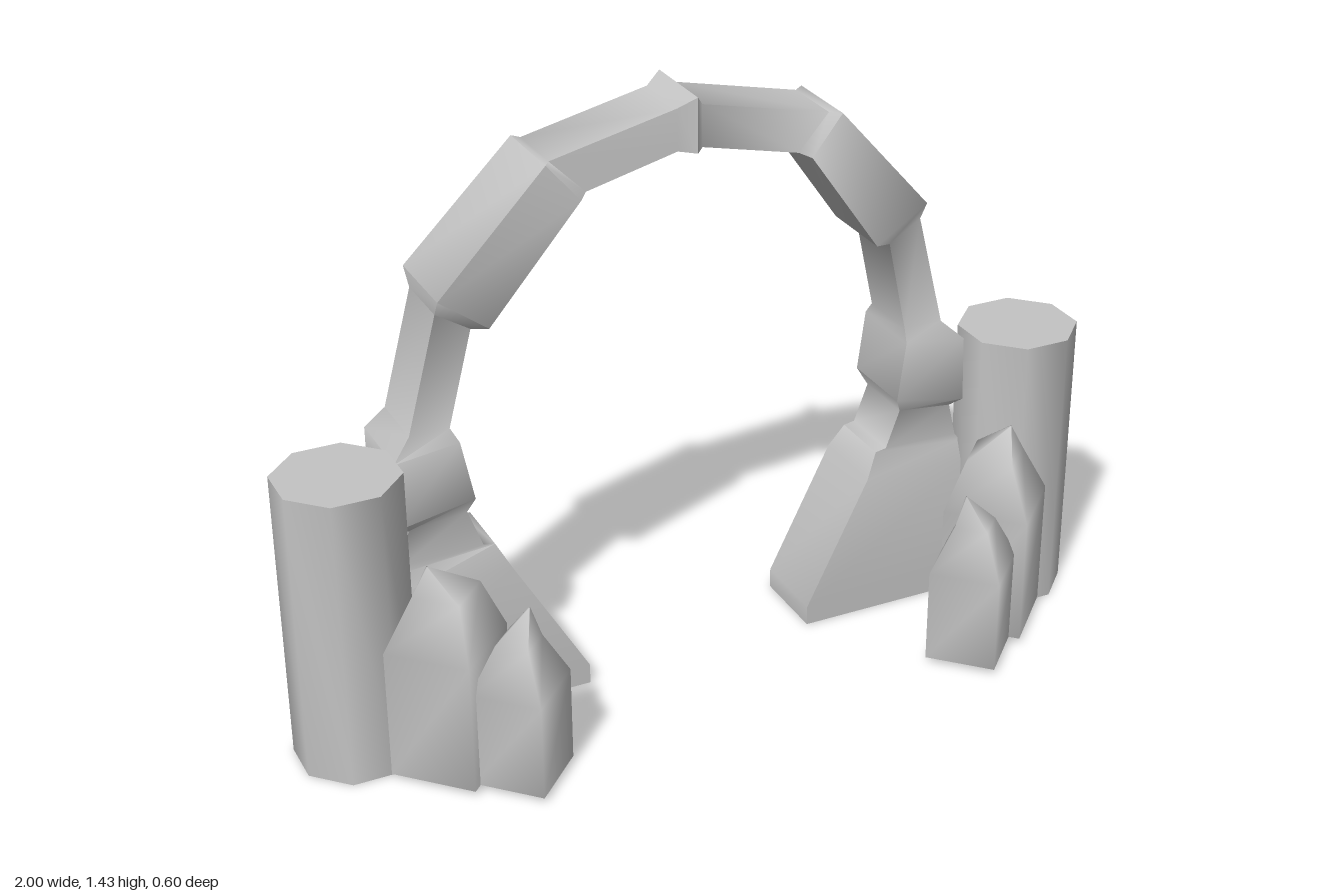
import * as THREE from 'three';
import { toCreasedNormals } from 'three/addons/utils/BufferGeometryUtils.js';

// Joins four-cornered rings into an open shell; rings run counter-clockwise seen from the far end.
function loft(rings) {
  const n = rings[0].length, index = [];
  for (let i = 0; i < rings.length - 1; i++) {
    for (let j = 0; j < n; j++) {
      const a = i * n + j, b = i * n + (j + 1) % n;
      index.push(a, b, b + n, a, b + n, a + n);
    }
  }
  const g = new THREE.BufferGeometry();
  g.setAttribute('position', new THREE.Float32BufferAttribute(rings.flat(2), 3));
  g.setIndex(index);
  return g;
}

// Arch stations from foot to crown: inner x, y, outer x, y, half depth,
// then for the left-hand copy: inner shift, outer shift, extra depth at the front
const WIDE = 0.1, SLIM = 0.08;
const STATIONS = [
  [0.305, 0, 0.77, 0, WIDE, 0.025, 0, 0],
  [0.305, 0.05, 0.77, 0.06, WIDE, 0.025, 0, 0],
  [0.465, 0.37, 0.755, 0.36, WIDE, 0, 0, 0],
  [0.497, 0.43, 0.735, 0.41, SLIM, 0, 0, 0],
  [0.525, 0.435, 0.72, 0.43, SLIM, 0, 0, 0],
  [0.56, 0.53, 0.7, 0.515, SLIM, 0, 0, 0],
  [0.54, 0.57, 0.725, 0.535, WIDE, -0.005, -0.005, 0],
  [0.56, 0.72, 0.72, 0.7, WIDE, -0.015, -0.01, 0],
  [0.565, 0.75, 0.665, 0.75, SLIM, -0.025, -0.02, 0],
  [0.515, 0.98, 0.595, 1.03, SLIM, -0.015, -0.015, 0],
  [0.47, 0.99, 0.6, 1.075, WIDE, -0.03, -0.015, 0.017],
  [0.295, 1.24, 0.37, 1.335, WIDE, 0.025, 0.02, 0],
  [0.27, 1.25, 0.345, 1.335, SLIM, 0.02, 0.01, 0],
  [0.03, 1.305, 0.03, 1.405, SLIM, 0, 0, 0],
];
const CROWN = [[0.01, 1.3], [0.01, 1.43]];

function archGeometry() {
  const zc = -0.2;
  const ring = (a, ay, b, by, d, front) => [
    [a, ay, zc + d + front], [b, by, zc + d + front], [b, by, zc - d], [a, ay, zc - d],
  ];
  const right = STATIONS.map(([ix, iy, ox, oy, d]) => ring(ix, iy, ox, oy, d, 0));
  const left = STATIONS.map(([ix, iy, ox, oy, d, di, dO, front]) =>
    ring(di - ix, iy, dO - ox, oy, d, front)).reverse();
  const crown = ring(...CROWN[0], ...CROWN[1], WIDE, 0);
  return toCreasedNormals(loft([...right, crown, ...left]), 1.2);
}

// Upright crystal with a diamond base; each ring is [y, radius, sideways offset]
function crystalGeometry(rings) {
  const g = loft(rings.map(([y, r, dx]) => [0, 1, 2, 3].map((k) => {
    const a = k * Math.PI / 2;
    return [dx + r * Math.cos(a), y, -r * Math.sin(a)];
  })));
  g.computeVertexNormals();
  return g;
}

// Octagonal pillar, open underneath
function pillarGeometry() {
  const r = 0.135 / Math.cos(Math.PI / 8), h = 0.715;
  const profile = [[r, 0], [r, h], [0, h]].map(([x, y]) => new THREE.Vector2(x, y));
  return toCreasedNormals(new THREE.LatheGeometry(profile, 8, Math.PI / 8), 0.9);
}

export function createModel() {
  const group = new THREE.Group();
  const stone = new THREE.MeshStandardMaterial({ color: 0xc4c4c4, side: THREE.DoubleSide });
  stone.name = 'grey stone';

  const add = (name, geometry, x = 0, y = 0, z = 0) => {
    const mesh = new THREE.Mesh(geometry, stone);
    mesh.name = name;
    mesh.position.set(x, y, z);
    group.add(mesh);
  };

  add('arch', archGeometry());

  // A pillar and a pair of crystals on each side
  for (const [side, s, shift] of [['left', 1, 0.04], ['right', -1, 0]]) {
    add(side + 'Pillar', pillarGeometry(), s * 0.865, 0, -0.09);
    add(side + 'LargeCrystal', crystalGeometry([
      [0.015, 0.145, 0], [0.335, 0.145, 0], [0.46, 0.08, s * -0.008], [0.528, 0.002, s * 0.033],
    ]), s * (0.69 + shift), 0, 0.062);
    add(side + 'SmallCrystal', crystalGeometry([
      [0.015, 0.12, 0], [0.25, 0.12, 0], [0.36, 0.056, 0], [0.438, 0.002, s * -0.028],
    ]), s * (0.562 + shift), 0, 0.177);
  }
  return group;
}
